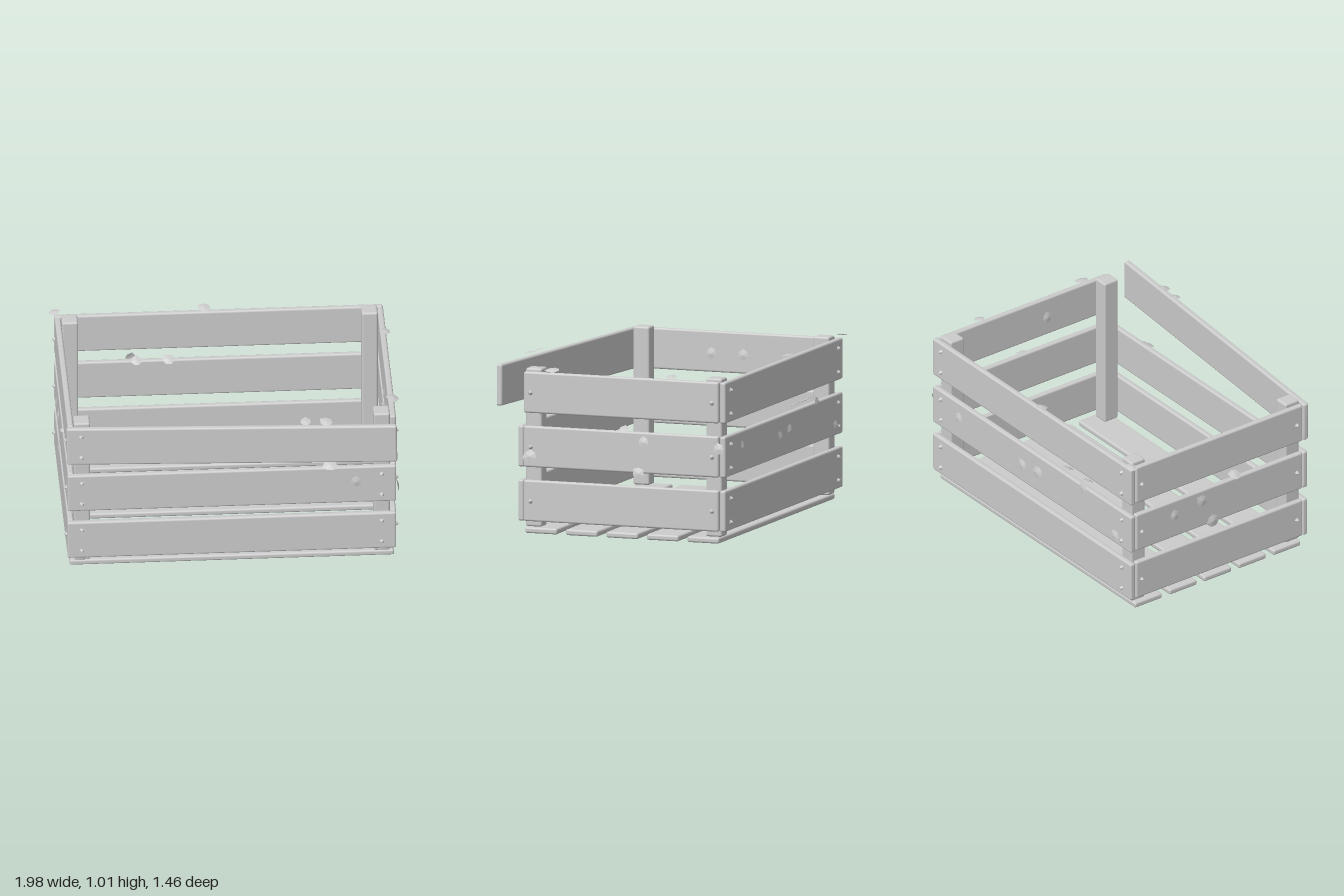
import * as THREE from 'three';
import { RoundedBoxGeometry } from 'three/addons/geometries/RoundedBoxGeometry.js';

export function createModel() {
  const crate = new THREE.Group();
  crate.name = 'crate';
  const wood = new THREE.MeshStandardMaterial({ color: 0xcccccc, side: THREE.DoubleSide });
  wood.name = 'pale grey';

  // Rounded board given by its min and max corners
  function board(name, x0, x1, y0, y1, z0, z1, parent = crate) {
    const geo = new RoundedBoxGeometry(x1 - x0, y1 - y0, z1 - z0, 2, 0.012);
    const m = new THREE.Mesh(geo, wood);
    m.position.set((x0 + x1) / 2, (y0 + y1) / 2, (z0 + z1) / 2);
    m.name = name;
    parent.add(m);
  }

  // Small faceted nail head pointing along an outward direction
  const nailGeo = new THREE.CylinderGeometry(0.005, 0.016, 0.018, 6).toNonIndexed();
  nailGeo.computeVertexNormals();
  const up = new THREE.Vector3(0, 1, 0);
  function nail(x, y, z, dx, dz, parent = crate) {
    const m = new THREE.Mesh(nailGeo, wood);
    m.position.set(x + dx * 0.007, y, z + dz * 0.007);
    m.quaternion.setFromUnitVectors(up, new THREE.Vector3(dx, 0, dz));
    m.name = 'nail';
    parent.add(m);
  }

  // Corner posts
  for (const x of [-0.93, 0.825])
    for (const z of [0.455, -0.672])
      board('cornerPost', x, x + 0.095, 0.045, 0.98, z, z + 0.1);

  // Floor slats
  for (let i = 0; i < 5; i++) {
    const z = 0.45 - i * 0.2535;
    board('floorSlat', -0.955, 0.945, 0.008, 0.043, z - 0.1, z + 0.1);
  }

  // Wall slats in three tiers, nailed to the posts
  for (let i = 0; i < 3; i++) {
    const y = 0.08 + i * 0.32, top = y + 0.243;
    board('backSlat', -0.97, 0.955, y, top, -0.708, -0.672);
    board('leftSlat', 0.92, 0.956, y, top, -0.665, 0.555);
    board('rightSlat', -0.968, -0.932, y, top, -0.665, 0.555);
    if (i < 2) board('frontSlat', -0.97, 0.955, y, top, 0.554, 0.59);
    for (const dy of [0.05, 0.19])
      for (const x of [-0.885, 0.87]) {
        nail(x, y + dy, -0.708, 0, -1);
        if (i < 2) nail(x, y + dy, 0.59, 0, 1);
      }
    for (const z of [0.51, -0.625]) {
      nail(0.956, y + 0.12, z, 1, 0);
      nail(-0.968, y + 0.12, z, -1, 0);
    }
  }

  // Loose top front slat, swung outward and lifted at one end
  const loose = new THREE.Group();
  loose.name = 'looseFrontSlat';
  loose.position.set(-0.97, 0.72, 0.556);
  loose.rotation.set(0, -0.07, 0.0165);
  board('looseBoard', 0, 1.93, 0, 0.245, 0, 0.036, loose);
  for (const y of [0.05, 0.19]) nail(0.085, y, 0.036, 0, 1, loose);
  crate.add(loose);

  // Leaf: a pointed seven-sided disc with a slightly raised middle
  const leafGeo = new THREE.CircleGeometry(0.04, 7, Math.PI / 2).toNonIndexed();
  const p = leafGeo.attributes.position;
  for (let i = 0; i < p.count; i++) {
    if (p.getY(i) > 0.035) p.setY(i, 0.05);
    if (Math.hypot(p.getX(i), p.getY(i)) < 0.01) p.setZ(i, 0.008);
  }
  leafGeo.computeVertexNormals();

  // Heading turns the leaf around y, pitch tips its face to the sky
  function leaf(x, y, z, heading, pitch, i) {
    const m = new THREE.Mesh(leafGeo, wood);
    m.position.set(x, y, z);
    m.rotation.set(-pitch, heading, (i * 0.9) % 2.5, 'YXZ');
    m.scale.setScalar(0.8 + 0.1 * (i % 3));
    m.name = 'leaf';
    crate.add(m);
  }

  // Leaves resting on top edges, grouped by height
  const resting = [
    [0.98, [[-0.97, -0.7], [-0.09, -0.695], [0.945, 0.375], [0.95, -0.37]]],
    [1.012, [[0.42, 0.665], [0.54, 0.675]]],
    [0.655, [[-0.49, -0.655], [-0.3, -0.66], [0.57, 0.575], [0.94, -0.07], [-0.95, 0.07]]],
  ];
  for (const [y, spots] of resting)
    spots.forEach(([x, z], i) => leaf(x, y, z, Math.abs(x) > 0.9 ? Math.sign(x) * 1.57 : 0, y < 0.7 ? 1.1 : 1.35, i));

  // Leaves stuck to the outer faces: front, back, then both ends
  leaf(0.72, 0.55, 0.6, 0, 0.05, 0);
  [[0.69, 0.55], [0.07, 0.52], [-0.08, 0.54], [-0.52, 0.64], [-0.83, 0.46]]
    .forEach(([x, y], i) => leaf(x, y, -0.718, Math.PI, 0.15, i));
  [[0.585, -0.2], [0.4, -0.17], [0.465, 0.51], [0.57, -0.67]]
    .forEach(([y, z], i) => leaf(0.968, y, z, Math.PI / 2, 0.2, i));
  [[0.55, -0.39], [0.58, -0.19], [0.42, -0.11]]
    .forEach(([y, z], i) => leaf(-0.977, y, z, -Math.PI / 2, 0.12, i));

  // Leaves on the inner end faces
  for (const z of [0.1, -0.1]) leaf(-0.925, 0.83, z, Math.PI / 2, 0.1, 0);
  leaf(0.912, 0.84, 0.1, -Math.PI / 2, 0.1, 0);
  return crate;
}
